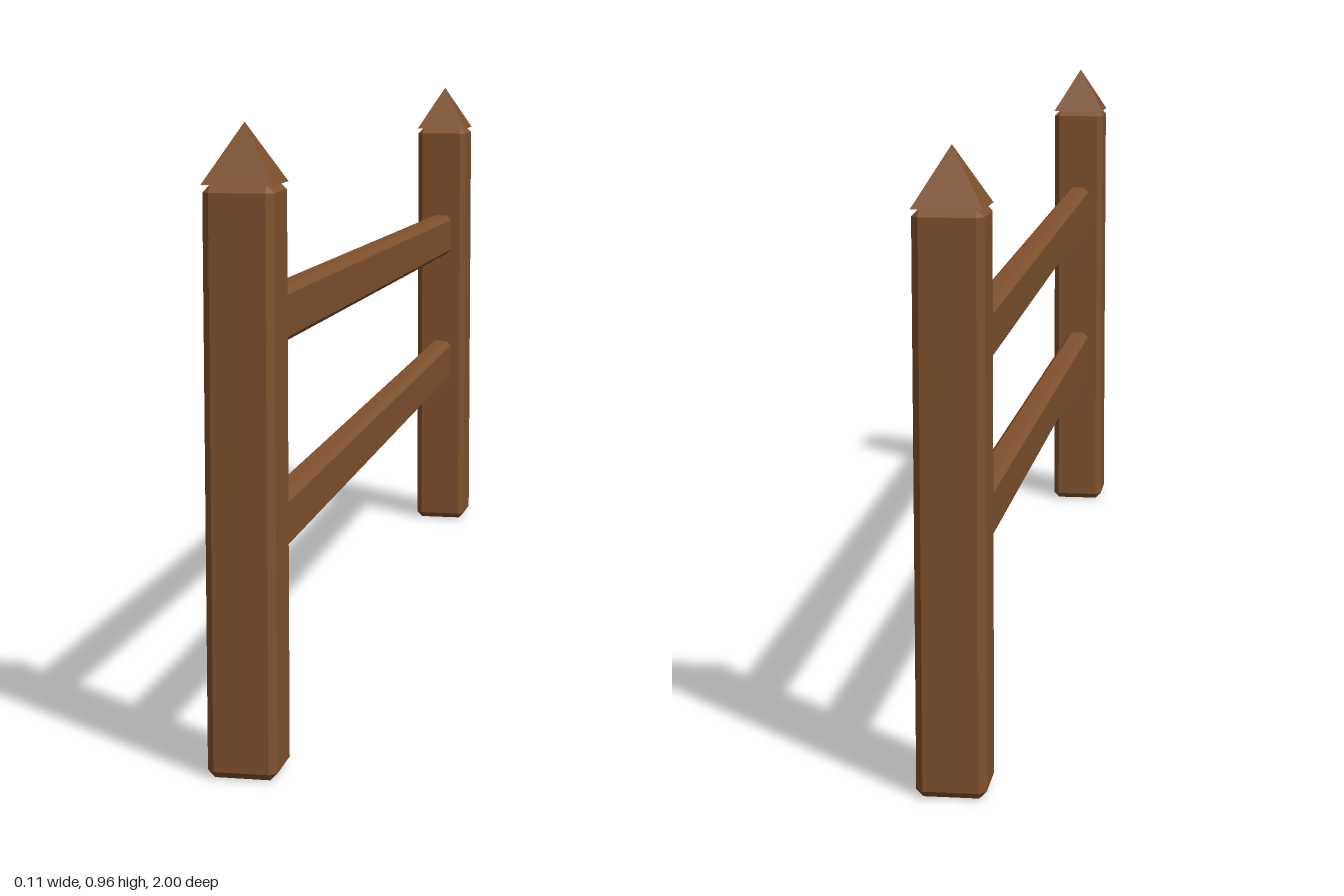
import * as THREE from 'three';
import { ConvexGeometry } from 'three/addons/geometries/ConvexGeometry.js';

// Box with every edge cut by a flat chamfer c
function chamferBox(w, h, d, c) {
  const half = [w / 2, h / 2, d / 2];
  const points = [];
  for (const sx of [-1, 1]) for (const sy of [-1, 1]) for (const sz of [-1, 1]) {
    for (let axis = 0; axis < 3; axis++) {
      const p = half.map((v, i) => (i === axis ? v : v - c));
      points.push(new THREE.Vector3(p[0] * sx, p[1] * sy, p[2] * sz));
    }
  }
  return new ConvexGeometry(points);
}

export function createModel() {
  const wood = new THREE.MeshStandardMaterial({ color: 0x80512d });
  wood.name = 'brown wood';
  wood.flatShading = true;

  const group = new THREE.Group();
  group.name = 'fence';
  const add = (name, geometry, x, y, z) => {
    const mesh = new THREE.Mesh(geometry, wood);
    mesh.name = name;
    mesh.position.set(x, y, z);
    group.add(mesh);
    return mesh;
  };

  const width = 0.105, postHeight = 0.872, capHeight = 0.088;
  const postZ = 1 - width / 2;

  // Posts with pyramid caps
  const postGeometry = chamferBox(width, postHeight, width, 0.011);
  const capGeometry = new THREE.ConeGeometry(width / Math.SQRT2, capHeight, 4);
  capGeometry.rotateY(Math.PI / 4);
  for (const [side, s] of [['front', 1], ['back', -1]]) {
    add(side + 'Post', postGeometry, 0, postHeight / 2, s * postZ);
    add(side + 'Cap', capGeometry, 0, postHeight + capHeight / 2, s * postZ);
  }

  // Rails, tilted slightly towards each other at the back
  const railGeometry = chamferBox(0.046, 0.085, 1.88, 0.01);
  add('upperRail', railGeometry, 0, 0.65, 0).rotation.x = -0.0125;
  add('lowerRail', railGeometry, 0, 0.348, 0).rotation.x = 0.0125;

  return group;
}
